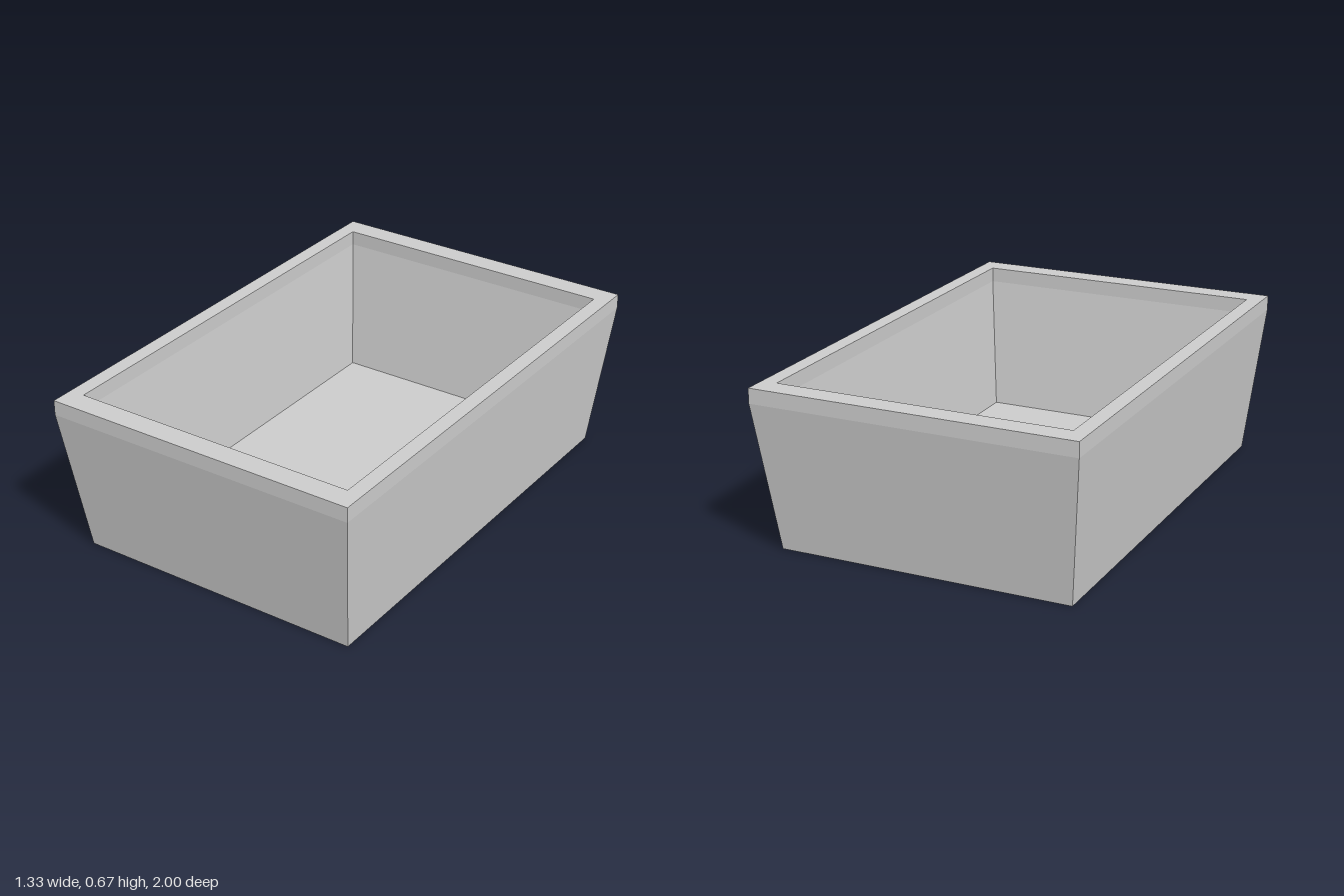
import * as THREE from 'three';

const CORNERS = [[-1, 1], [1, 1], [1, -1], [-1, -1]];

// Flat-sided rectangular loft through rings of [half width, y, half depth].
// Rings run up the outside, over the rim and down the inside.
function loft(name, rings, material) {
  const pos = [];
  const corner = ([w, y, d], i) => {
    const [sx, sz] = CORNERS[i % 4];
    return [sx * w, y, sz * d];
  };
  for (let r = 0; r < rings.length - 1; r++) {
    for (let i = 0; i < 4; i++) {
      const a = corner(rings[r], i), b = corner(rings[r], i + 1);
      const c = corner(rings[r + 1], i + 1), d = corner(rings[r + 1], i);
      pos.push(...a, ...b, ...c, ...a, ...c, ...d);
    }
  }
  const geometry = new THREE.BufferGeometry();
  geometry.setAttribute('position', new THREE.Float32BufferAttribute(pos, 3));
  geometry.computeVertexNormals();
  const mesh = new THREE.Mesh(geometry, material);
  mesh.name = name;
  return mesh;
}

// Horizontal panel filling a ring, facing up (1) or down (-1)
function panel(name, [w, y, d], facing, material) {
  const mesh = new THREE.Mesh(new THREE.PlaneGeometry(2 * w, 2 * d), material);
  mesh.rotation.x = -facing * Math.PI / 2;
  mesh.position.y = y;
  mesh.name = name;
  return mesh;
}

export function createModel() {
  const grey = new THREE.MeshStandardMaterial({ color: 0xcccccc });
  grey.name = 'light grey';

  const outerBase = [0.606, 0, 0.909];
  const outerLip = [0.667, 0.606, 1];
  const outerTop = [0.667, 0.667, 1];
  const innerTop = [0.603, 0.667, 0.905];
  const innerLip = [0.603, 0.606, 0.905];
  const innerFloor = [0.548, 0.06, 0.823];

  const model = new THREE.Group();
  model.name = 'openBox';
  model.add(
    // Tapered outside
    loft('outerWalls', [outerBase, outerLip], grey),
    panel('underside', outerBase, -1, grey),
    // Upright band around the opening
    loft('rim', [outerLip, outerTop, innerTop, innerLip], grey),
    // Tapered inside
    loft('innerWalls', [innerLip, innerFloor], grey),
    panel('floor', innerFloor, 1, grey),
  );
  return model;
}
